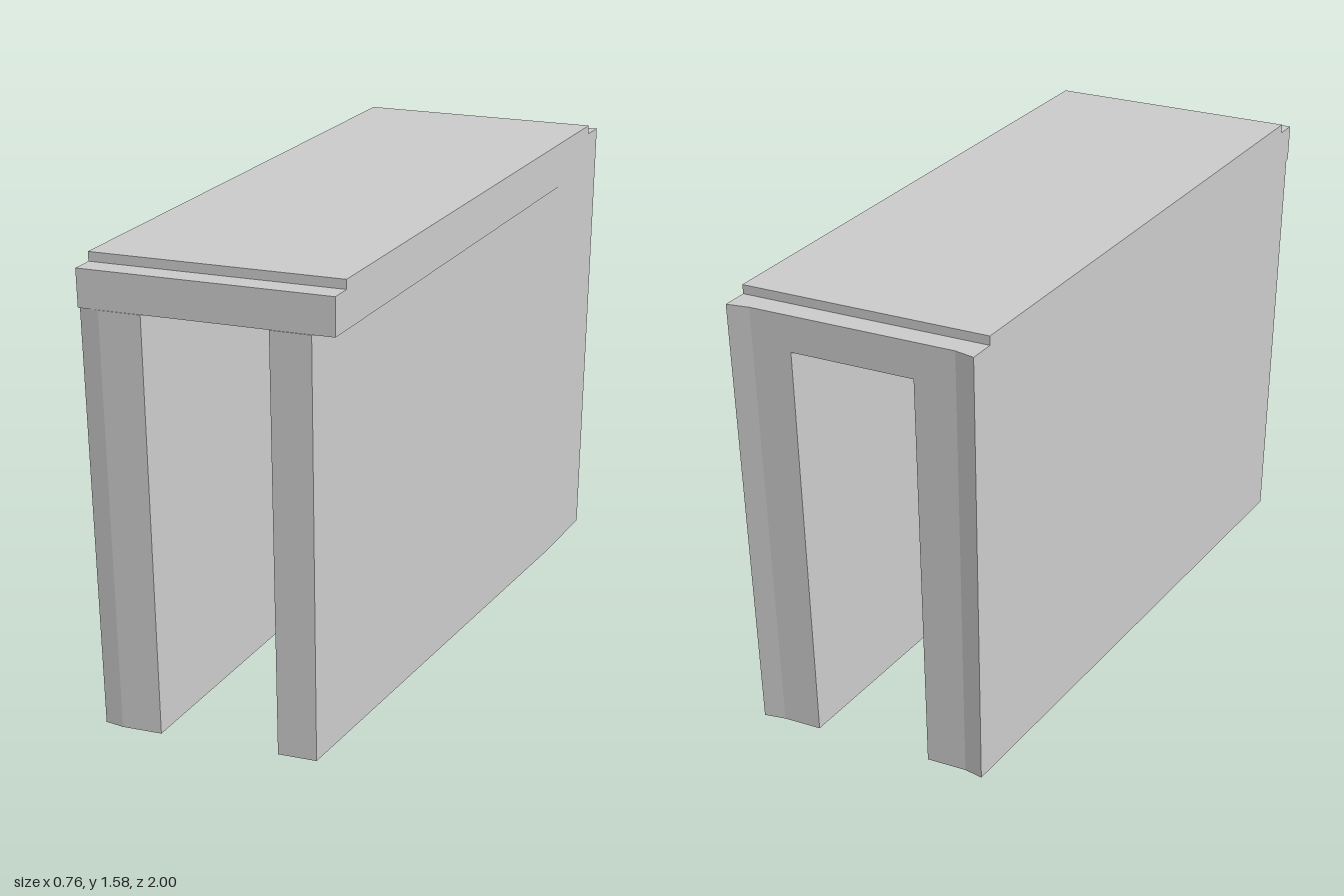
import * as THREE from 'three';

const material = new THREE.MeshStandardMaterial({ color: 0xcccccc, flatShading: true });

// Upright prism from a plan outline of [x, z] points, between two heights
function prism(name, plan, y0, y1) {
  const shape = new THREE.Shape(plan.map(([x, z]) => new THREE.Vector2(x, -z)));
  const geometry = new THREE.ExtrudeGeometry(shape, { depth: y1 - y0, bevelEnabled: false });
  geometry.rotateX(-Math.PI / 2).translate(0, y0, 0);
  const mesh = new THREE.Mesh(geometry, material);
  mesh.name = name;
  return mesh;
}

export function createModel() {
  const group = new THREE.Group();
  group.name = 'skewedPassage';
  const W = 0.38, inner = 0.19;
  const soffit = 1.423, ledge = 1.545, top = 1.575;

  // Wall on the -x side, with a blunt corner at each end
  group.add(prism('rightWall', [
    [-W, 0.99], [-0.318, 0.988], [-inner, 0.96],
    [-inner, -0.87], [-0.318, -0.843], [-W, -0.843],
  ], 0, soffit));

  // Wall on the +x side, its outer face tapering inward towards the front
  group.add(prism('leftWall', [
    [inner, 0.877], [0.313, 0.85], [W, -0.73],
    [W, -1], [0.313, -0.976], [inner, -0.95],
  ], 0, soffit));

  // Roof slab, overhanging the tapered wall
  group.add(prism('roofSlab', [
    [-W, 1], [W, 0.833], [W, -1], [0.313, -0.976],
    [-0.318, -0.843], [-W, -0.843],
  ], soffit, ledge));

  // Raised deck, set back from both skewed ends
  group.add(prism('roofDeck', [
    [-W, 0.937], [W, 0.77], [W, -0.925], [-W, -0.765],
  ], ledge, top));

  return group;
}
